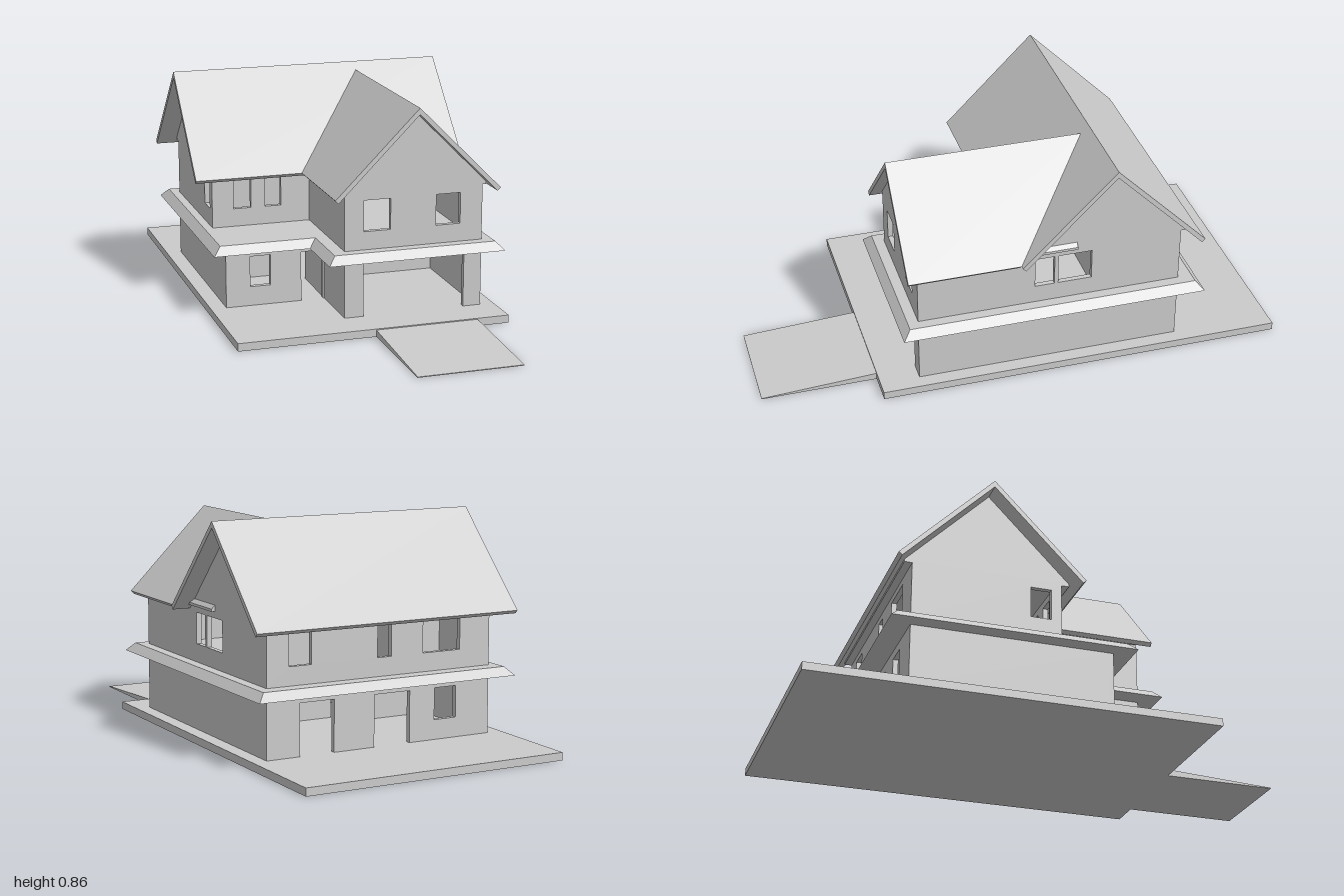
import * as THREE from 'three';

const T = 0.02; // wall thickness

export function createModel() {
  const house = new THREE.Group();
  house.name = 'house';
  const mat = new THREE.MeshStandardMaterial({ color: 0xcccccc, flatShading: true });

  const add = (name, geometry) => {
    const mesh = new THREE.Mesh(geometry, mat);
    mesh.name = name;
    house.add(mesh);
    return mesh;
  };
  const shapeOf = (pts) => new THREE.Shape(pts.map(([x, y]) => new THREE.Vector2(x, y)));
  const extrude = (shape, depth) => new THREE.ExtrudeGeometry(shape, { depth, bevelEnabled: false });
  const box = (name, x0, x1, y0, y1, z0, z1) =>
    add(name, new THREE.BoxGeometry(x1 - x0, y1 - y0, z1 - z0)
      .translate((x0 + x1) / 2, (y0 + y1) / 2, (z0 + z1) / 2));
  // Moves every vertex by a rule, then restores flat normals
  const reshape = (geometry, rule) => {
    const g = geometry.index ? geometry.toNonIndexed() : geometry;
    const p = g.attributes.position, v = new THREE.Vector3();
    for (let i = 0; i < p.count; i++) {
      rule(v.fromBufferAttribute(p, i));
      p.setXYZ(i, v.x, v.y, v.z);
    }
    g.computeVertexNormals();
    return g;
  };

  // Wall outline with door notches [u0, u1, top] and window holes [u0, u1]
  const wallShape = (u0, u1, [y0, y1], doors, windows, [w0, w1]) => {
    const pts = [[u0, y0]];
    for (const [a, b, top] of doors) pts.push([a, y0], [a, top], [b, top], [b, y0]);
    pts.push([u1, y0], [u1, y1], [u0, y1]);
    const shape = shapeOf(pts);
    for (const [a, b] of windows) {
      shape.holes.push(new THREE.Path([[a, w0], [a, w1], [b, w1], [b, w0]]
        .map(([x, y]) => new THREE.Vector2(x, y))));
    }
    return shape;
  };
  // storey: [wall heights, window heights]
  const lower = [[0.03, 0.26], [0.105, 0.225]];
  const upper = [[0.29, 0.515], [0.36, 0.48]];
  // Walls running along x (zBack is the rear face) and along z (xMax is the +x face)
  const wallX = (name, [h, w], zBack, x0, x1, windows = [], doors = []) =>
    add(name, extrude(wallShape(x0, x1, h, doors, windows, w), T).translate(0, 0, zBack));
  const wallZ = (name, [h, w], xMax, z0, z1, windows = [], doors = []) =>
    add(name, extrude(wallShape(z0, z1, h, doors, windows, w), T)
      .rotateY(-Math.PI / 2).translate(xMax, 0, 0));

  // Ground slab and sloping driveway
  box('groundSlab', -0.525, 0.525, 0, 0.03, -1, 0.56);
  add('driveway', reshape(new THREE.BoxGeometry(0.4, 0.026, 0.44).translate(0.2, 0.013, 0.78),
    (v) => { if (v.z > 0.9 && v.y > 0.01) v.y = 0.003; }));

  // Ground floor
  wallX('lowerEntranceWall', lower, 0.14, -0.465, -0.075, [[-0.37, -0.29]], [[-0.168, -0.08, 0.225]]);
  wallX('garageFrontWall', lower, 0.39, -0.075, 0.47, [], [[0, 0.4, 0.255]]);
  wallX('lowerBackWall', lower, -0.61, -0.465, 0.47, [[-0.32, -0.227]],
    [[-0.12, 0.03, 0.225], [0.197, 0.336, 0.225]]);
  wallZ('lowerRightWall', lower, 0.47, -0.61, 0.41);
  wallZ('lowerLeftWall', lower, -0.465 + T, -0.61, 0.16);
  wallZ('garageSideWall', lower, -0.075 + T, -0.1, 0.41);
  wallX('garageRearWall', lower, -0.1, -0.075, 0.45);
  wallX('lowerPartition', lower, -0.2, -0.445, -0.17);

  // Skirt roof between the storeys, with its upper edge drawn in
  const skirt = shapeOf([[-0.527, 0.235], [-0.155, 0.235], [-0.155, 0.48],
    [0.54, 0.48], [0.54, -0.695], [-0.527, -0.695]]);
  add('skirtRoof', reshape(extrude(skirt, 0.032).rotateX(Math.PI / 2).translate(0, 0.29, 0), (v) => {
    if (v.y < 0.27) return;
    v.x -= Math.sign(v.x) * 0.03;
    v.z -= Math.sign(v.z) * 0.03;
  }));

  // Upper floor
  wallX('upperEntranceWall', upper, -0.06, -0.465, -0.075, [[-0.38, -0.31], [-0.255, -0.19]]);
  wallX('wingFrontWall', upper, 0.39, -0.075, 0.47, [[0, 0.105], [0.285, 0.382]]);
  wallX('upperBackWall', upper, -0.61, -0.465, 0.47, [[-0.335, -0.175], [-0.04, 0.018], [0.29, 0.38]]);
  wallZ('upperRightWall', upper, 0.47, -0.61, 0.41, [[-0.26, -0.13], [-0.115, -0.04]]);
  wallZ('upperLeftWall', upper, -0.465 + T, -0.61, -0.04, [[-0.16, -0.08]]);
  wallZ('wingSideWall', upper, -0.075 + T, -0.59, 0.41);
  wallX('upperPartition', upper, -0.3, -0.445, 0.45);

  // Attics: gable prisms filling the space under each roof
  const gable = (c, half, apex) =>
    shapeOf([[c - half, 0.505], [c + half, 0.505], [c + half, 0.515], [c, apex], [c - half, 0.515]]);
  add('mainAttic', extrude(gable(-0.325, 0.314, 0.829), 0.935).rotateY(-Math.PI / 2).translate(0.47, 0, 0));
  add('wingAttic', extrude(gable(0.2, 0.284, 0.799), 0.61).translate(0, 0, -0.2));

  // Roofs: 45 degree chevrons
  const chevron = (c, half, apex) => {
    const e = apex - half, s = 0.0125;
    return shapeOf([[c, apex], [c - half, e], [c - half + s, e - s], [c, apex - 2 * s],
      [c + half - s, e - s], [c + half, e]]);
  };
  add('mainRoof', extrude(chevron(-0.325, 0.355, 0.855), 1.084).rotateY(-Math.PI / 2).translate(0.541, 0, 0));
  // The rear end of the wing roof follows the main roof slope
  add('wingRoof', reshape(extrude(chevron(0.2, 0.325, 0.825), 0.455), (v) => {
    if (v.z < 0.1) v.z = 0.525 - v.y;
  }));

  return house;
}
